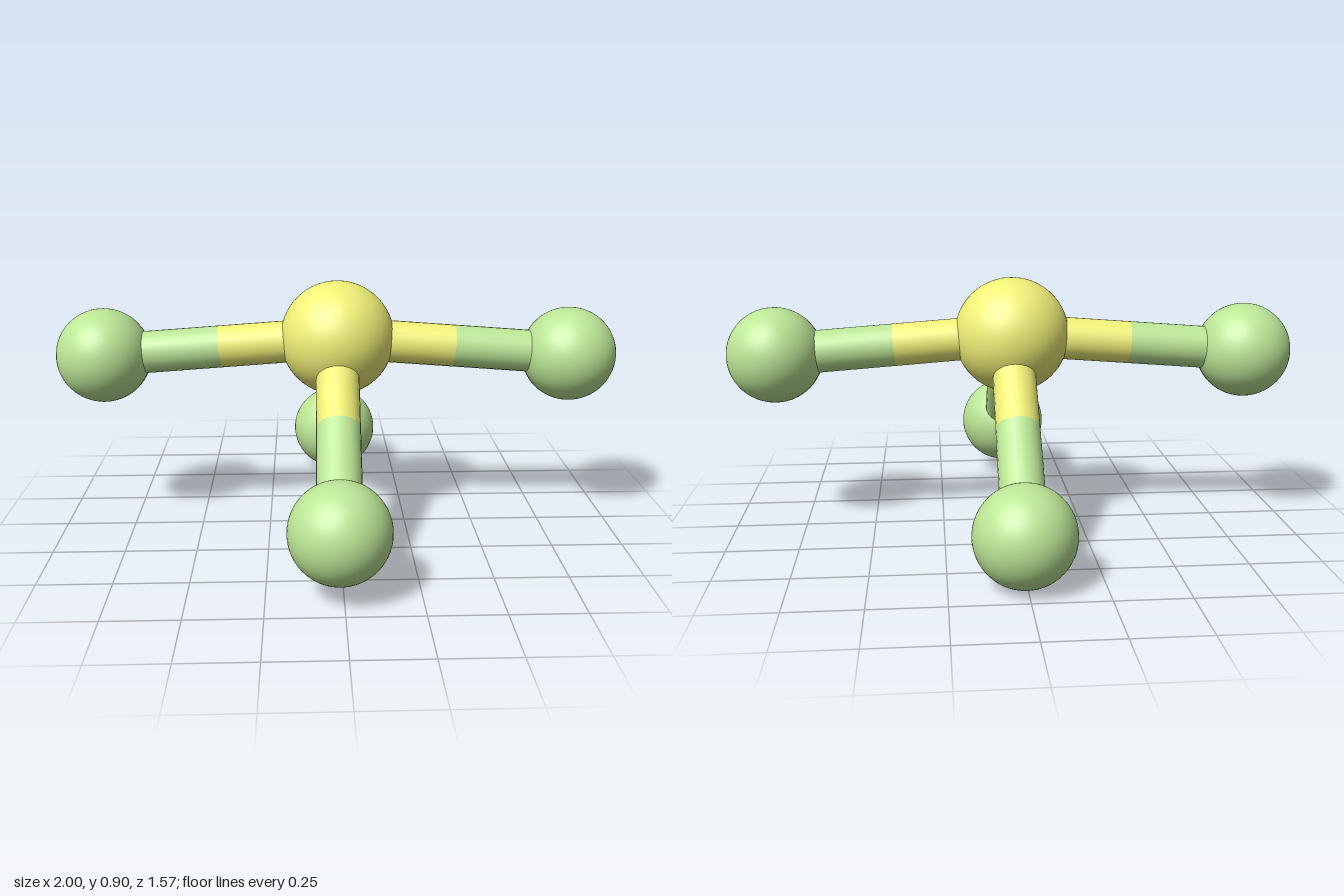
import * as THREE from 'three';

const yellow = new THREE.MeshStandardMaterial({ color: 0xf0f078 });
const green = new THREE.MeshStandardMaterial({ color: 0xbce696 });

function ball(name, center, radius, material) {
  const mesh = new THREE.Mesh(new THREE.SphereGeometry(radius, 48, 32), material);
  mesh.name = name;
  mesh.position.copy(center);
  return mesh;
}

// Open rod running between two points
function rod(name, from, to, radius, material) {
  const dir = to.clone().sub(from);
  const geometry = new THREE.CylinderGeometry(radius, radius, dir.length(), 24, 1, true);
  const mesh = new THREE.Mesh(geometry, material);
  mesh.name = name;
  mesh.position.copy(from).add(to).multiplyScalar(0.5);
  mesh.quaternion.setFromUnitVectors(new THREE.Vector3(0, 1, 0), dir.normalize());
  return mesh;
}

export function createModel() {
  const model = new THREE.Group();
  model.name = 'ballAndStickMolecule';

  // Central atom
  const center = new THREE.Vector3(0, 0.697, -0.018);
  model.add(ball('centralAtom', center, 0.203, yellow));

  // Four outer atoms, each on a bond that changes colour halfway
  const outer = {
    left: [0.832, 0.635, -0.008],
    right: [-0.834, 0.635, -0.038],
    front: [-0.013, 0.222, 0.618],
    back: [0.007, 0.168, -0.619],
  };
  for (const [side, xyz] of Object.entries(outer)) {
    const end = new THREE.Vector3(...xyz);
    const middle = center.clone().lerp(end, 0.5);
    const arm = new THREE.Group();
    arm.name = side + 'Arm';
    arm.add(
      rod('innerBond', center, middle, 0.075, yellow),
      rod('outerBond', middle, end, 0.075, green),
      ball('outerAtom', end, 0.167, green)
    );
    model.add(arm);
  }
  return model;
}
